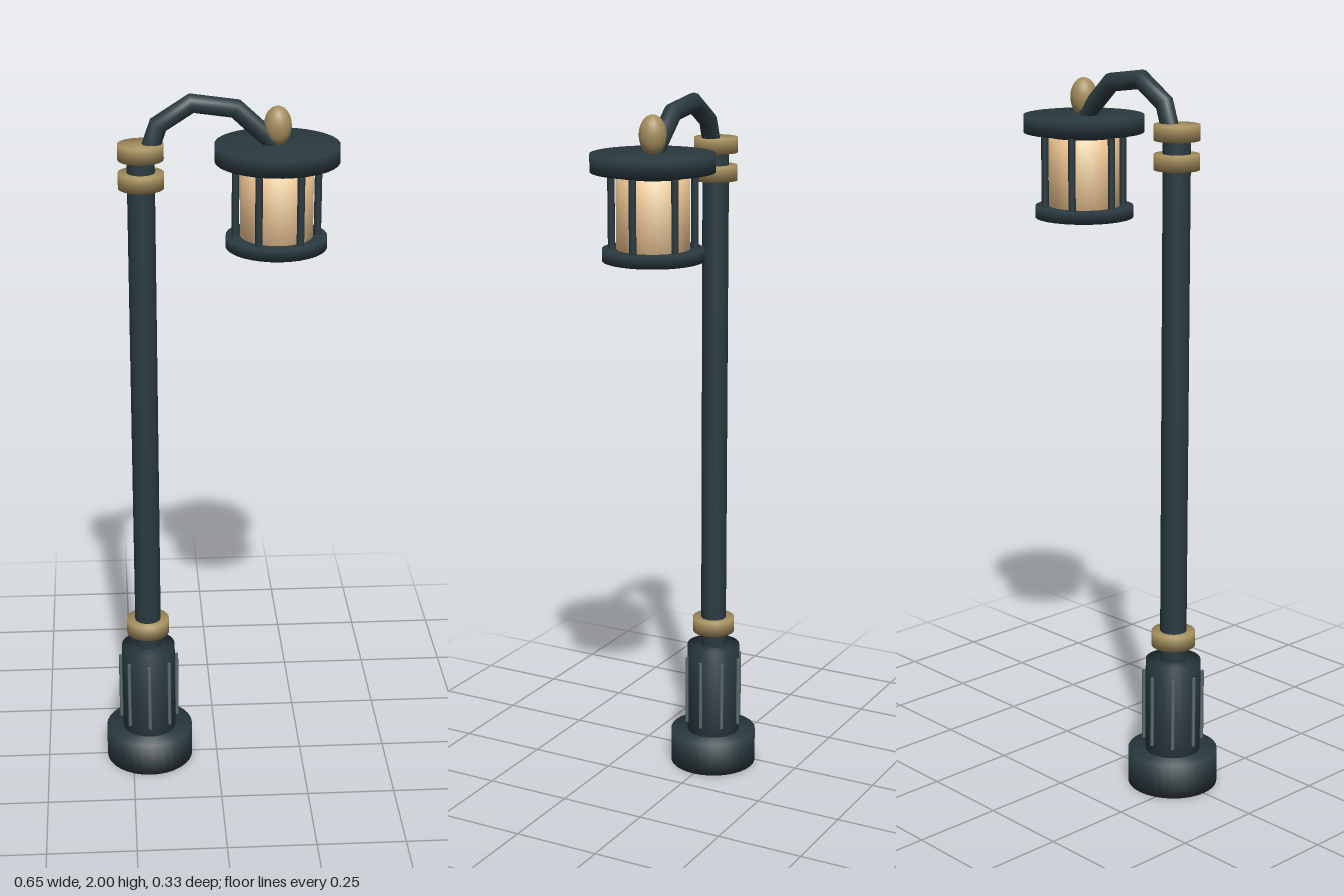
import * as THREE from 'three';

const paint = (color) => new THREE.MeshStandardMaterial({ color });

export function createModel() {
  const model = new THREE.Group();
  const iron = paint(0x2a3a40);
  const brass = paint(0xa48e5c);
  const steel = paint(0x5c6b70);
  const glass = paint(0xf6cb98);

  const add = (parent, name, geometry, material, x = 0, y = 0, z = 0) => {
    const mesh = new THREE.Mesh(geometry, material);
    mesh.name = name;
    mesh.position.set(x, y, z);
    parent.add(mesh);
    return mesh;
  };

  // Closed drum with softly shaded rims
  const drum = (parent, name, r, y0, y1, material, sides = 32) => {
    const profile = [[0, y0], [r, y0], [r, y1], [0, y1]].map(([x, y]) => new THREE.Vector2(x, y));
    return add(parent, name, new THREE.LatheGeometry(profile, sides), material);
  };

  // Ring of upright rods
  const rods = (parent, name, count, ring, r, y0, y1, material) => {
    for (let i = 0; i < count; i++) {
      const a = (i / count) * Math.PI * 2;
      add(parent, name, new THREE.CylinderGeometry(r, r, y1 - y0, 8), material,
        Math.sin(a) * ring, (y0 + y1) / 2, Math.cos(a) * ring);
    }
  };

  // Post: foot, fluted pedestal, shaft and brass collars
  const post = new THREE.Group();
  post.name = 'post';
  post.position.x = -0.2;
  model.add(post);
  drum(post, 'foot', 0.126, 0, 0.1, iron);
  drum(post, 'pedestal', 0.077, 0.1, 0.37, iron);
  rods(post, 'pedestalFlute', 8, 0.082, 0.005, 0.13, 0.335, steel);
  drum(post, 'shaft', 0.037, 0.36, 1.85, iron, 24);
  drum(post, 'lowerCollar', 0.061, 0.413, 0.456, brass);
  drum(post, 'middleCollar', 0.061, 1.748, 1.79, brass);
  drum(post, 'topCollar', 0.061, 1.825, 1.867, brass);

  // Bent arm in straight runs, joined with mitred cross-sections
  const bends = [[-0.178, 1.845], [-0.153, 1.917], [-0.066, 1.973], [0.05, 1.957], [0.15, 1.865]]
    .map(([x, y]) => new THREE.Vector3(x, y, 0));
  const path = new THREE.CurvePath();
  for (let i = 1; i < bends.length; i++) path.add(new THREE.LineCurve3(bends[i - 1], bends[i]));
  const sides = 12, positions = [], index = [];
  bends.forEach((p, i) => {
    const before = bends[Math.max(i - 1, 0)], after = bends[Math.min(i + 1, bends.length - 1)];
    const d1 = p.clone().sub(before).normalize(), d2 = after.clone().sub(p).normalize();
    const along = d1.clone().add(d2).normalize();
    const stretch = 1 / along.dot(i ? d1 : d2);
    for (let j = 0; j < sides; j++) {
      const a = (j / sides) * Math.PI * 2;
      const u = Math.cos(a) * 0.025 * stretch;
      positions.push(p.x - along.y * u, p.y + along.x * u, Math.sin(a) * 0.025);
      if (i === 0) continue;
      const k = (j + 1) % sides, b = i * sides, c = b - sides;
      index.push(c + j, c + k, b + j, c + k, b + k, b + j);
    }
  });
  const armGeometry = new THREE.BufferGeometry();
  armGeometry.setAttribute('position', new THREE.Float32BufferAttribute(positions, 3));
  armGeometry.setIndex(index);
  armGeometry.computeVertexNormals();
  // Make the faces point outward whichever way the loops wind
  const n = armGeometry.attributes.normal;
  if (n.getZ(2 * sides + sides / 4) < 0) {
    armGeometry.setIndex(index.slice().reverse());
    armGeometry.computeVertexNormals();
  }
  add(model, 'arm', armGeometry, iron);

  // Lantern hanging from the arm
  const lantern = new THREE.Group();
  lantern.name = 'lantern';
  lantern.position.x = 0.16;
  model.add(lantern);
  add(lantern, 'finial', new THREE.SphereGeometry(0.037, 20, 14), brass, 0, 1.91).scale.y = 1.42;
  drum(lantern, 'roof', 0.166, 1.815, 1.862, iron);
  drum(lantern, 'roofCollar', 0.1, 1.803, 1.82, iron);
  drum(lantern, 'glass', 0.098, 1.605, 1.806, glass);
  rods(lantern, 'cageBar', 6, 0.11, 0.01, 1.6, 1.825, iron);
  lantern.children.filter((m) => m.name === 'cageBar').forEach((bar, i) => {
    const a = (i / 6) * Math.PI * 2;
    bar.position.x = Math.cos(a + Math.PI / 6 - Math.PI / 6) * 0.11;
    bar.position.z = Math.sin(a) * 0.11;
  });
  drum(lantern, 'tray', 0.136, 1.58, 1.612, iron);

  return model;
}
